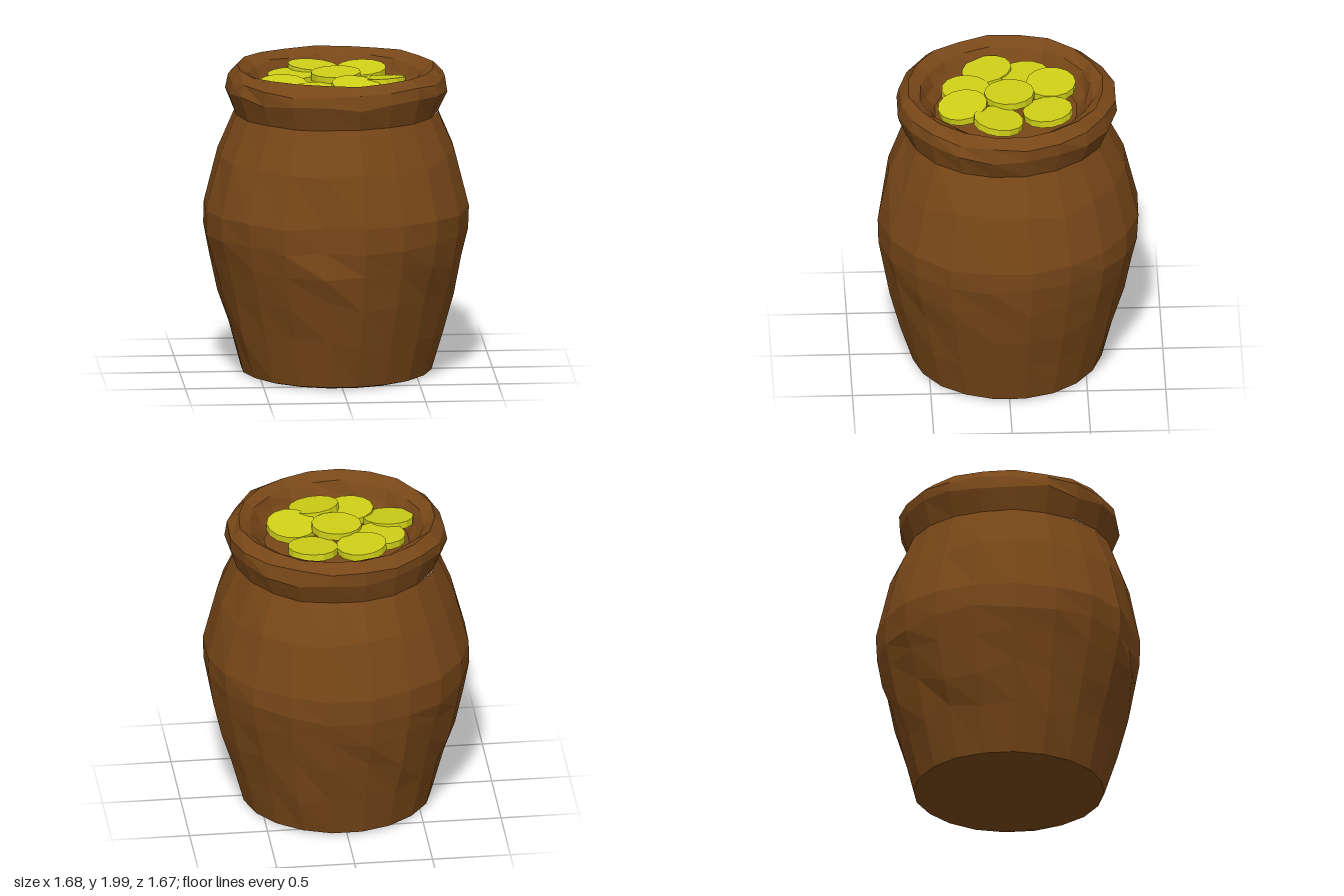
import * as THREE from 'three';

const brown = new THREE.MeshStandardMaterial({ color: 0x784718, flatShading: true });
const gold = new THREE.MeshStandardMaterial({ color: 0xd0d018, flatShading: true });

// Repeatable value in -1..1 for a ring and column
function jitter(ring, column, salt) {
  const s = Math.sin(ring * 127.1 + column * 311.7 + salt * 74.7) * 43758.5453;
  return 2 * (s - Math.floor(s)) - 1;
}

// Hand-cut lathe: radius, height, radial wobble and vertical wobble per ring
function roughLathe(rings, segments, phiStart, dent) {
  const points = rings.map(([r, y]) => new THREE.Vector2(r, y));
  const geometry = new THREE.LatheGeometry(points, segments, phiStart);
  const pos = geometry.attributes.position;
  for (let i = 0; i < pos.count; i++) {
    const ring = i % rings.length;
    const column = Math.floor(i / rings.length) % segments;
    const [r, y, wobbleR, wobbleY] = rings[ring];
    const phi = phiStart + (column / segments) * Math.PI * 2;
    const radius = r + jitter(ring, column, 1) * wobbleR - (r > 0 ? dent(y, column) : 0);
    pos.setXYZ(i, radius * Math.sin(phi), y + jitter(ring, column, 2) * wobbleY, radius * Math.cos(phi));
  }
  geometry.deleteAttribute('normal');
  geometry.computeVertexNormals();
  return geometry;
}

export function createModel() {
  const model = new THREE.Group();
  model.name = 'potOfCoins';
  const segments = 20;
  const phiStart = THREE.MathUtils.degToRad(9);

  // Body, with a shallow knock on the front
  const body = [
    [0, 0.005, 0, 0],
    [0.56, 0.005, 0, 0],
    [0.61, 0.02, 0.004, 0],
    [0.685, 0.32, 0.007, 0.06],
    [0.755, 0.56, 0.008, 0.05],
    [0.81, 0.77, 0.008, 0.03],
    [0.845, 0.94, 0.006, 0.03],
    [0.85, 1.09, 0.005, 0.01],
    [0.76, 1.43, 0.008, 0.04],
    [0.65, 1.705, 0.004, 0.004],
  ];
  const knock = (y, column) =>
    y > 0.9 && y < 1.1 ? (column === segments - 1 ? 0.055 : column === 0 ? 0.015 : 0) : 0;
  const bodyMesh = new THREE.Mesh(roughLathe(body, segments, phiStart, knock), brown);
  bodyMesh.name = 'body';
  model.add(bodyMesh);

  // Rolled rim, inner wall and the floor below the coins
  const rim = [
    [0.65, 1.7, 0.004, 0.004],
    [0.705, 1.85, 0.01, 0.02],
    [0.695, 1.93, 0.012, 0.015],
    [0.625, 1.99, 0.012, 0.008],
    [0.555, 1.945, 0.015, 0.01],
    [0.51, 1.87, 0.015, 0.01],
    [0.46, 1.81, 0.01, 0.005],
    [0, 1.83, 0, 0],
  ];
  const rimMesh = new THREE.Mesh(roughLathe(rim, segments, phiStart, () => 0), brown);
  rimMesh.name = 'rim';
  model.add(rimMesh);

  // Coins: x, y, z, tilt about x, tilt about z
  const coins = new THREE.Group();
  coins.name = 'coins';
  const coinGeometry = new THREE.CylinderGeometry(0.16, 0.16, 0.045, 14);
  [
    [0, 1.925, -0.02, 0.03, 0.02],
    [-0.13, 1.915, -0.29, 0.05, -0.08],
    [0.18, 1.9, -0.26, 0.08, 0.04],
    [-0.27, 1.895, -0.13, -0.04, 0.08],
    [-0.35, 1.885, 0.11, 0.05, 0.1],
    [0.28, 1.9, 0.06, -0.04, -0.1],
    [-0.11, 1.885, 0.25, -0.06, 0.06],
    [0.11, 1.905, 0.28, 0.12, 0.1],
  ].forEach(([x, y, z, tiltX, tiltZ], i) => {
    const coin = new THREE.Mesh(coinGeometry, gold);
    coin.name = 'coin' + (i + 1);
    coin.position.set(x, y, z);
    coin.rotation.set(tiltX, i * 0.4, tiltZ);
    coins.add(coin);
  });
  model.add(coins);
  return model;
}
